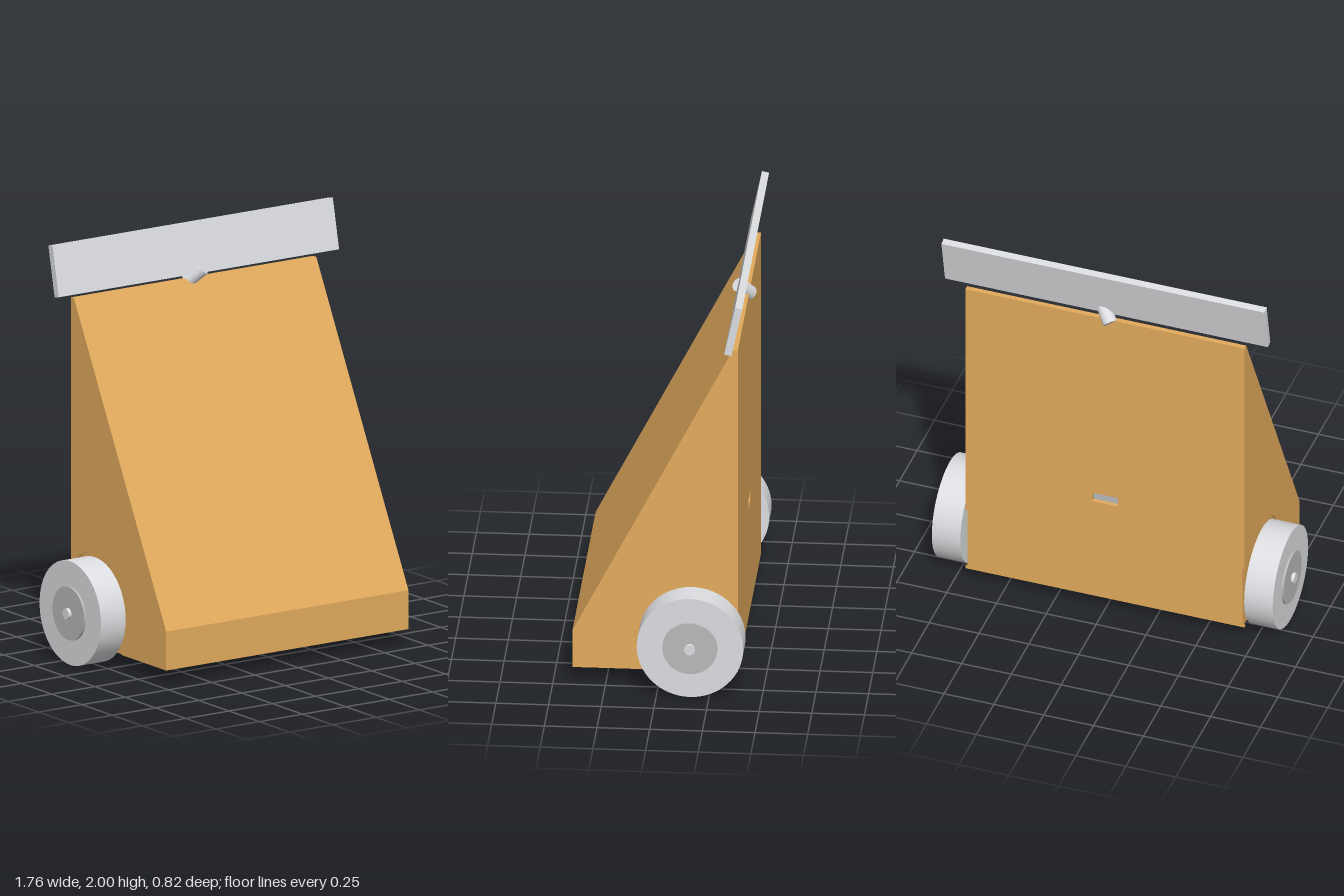
import * as THREE from 'three';

const mat = (name, color) => {
  const m = new THREE.MeshStandardMaterial({ color });
  m.name = name;
  return m;
};

export function createModel() {
  const group = new THREE.Group();
  const orange = mat('orange body', 0xe3ab5d);
  const lightGrey = mat('light grey', 0xdcdde0);
  const midGrey = mat('mid grey', 0xb9b9ba);

  const add = (name, geometry, material, parent = group) => {
    const mesh = new THREE.Mesh(geometry, material);
    mesh.name = name;
    parent.add(mesh);
    return mesh;
  };
  const toShape = (pts) => new THREE.Shape(pts.map(([u, v]) => new THREE.Vector2(u, v)));

  // Side profiles use (-z, y) and are extruded along x
  const extrudeX = (shapes, x0, x1) =>
    new THREE.ExtrudeGeometry(shapes, { depth: x1 - x0, bevelEnabled: false, curveSegments: 48 })
      .rotateY(Math.PI / 2).translate(x0, 0, 0);

  const W = 0.7, INNER = 0.69, BACK = 0.375, BOTTOM = 0.07, TOP = 1.73;
  const axleU = 0.16, axleY = 0.255, wellR = 0.27;

  // Wedge body in front of the back panel
  add('bodyCore', extrudeX(
    toShape([[-0.41, BOTTOM], [-0.41, 0.26], [0.35, TOP], [0.35, BOTTOM]]), -INNER, INNER), orange);

  // Back panel with a small slot
  const panel = toShape([[-INNER, BOTTOM], [INNER, BOTTOM], [INNER, TOP], [-INNER, TOP]]);
  panel.holes.push(new THREE.Path([[-0.065, 0.63], [-0.065, 0.68], [0.065, 0.68], [0.065, 0.63]]
    .map(([x, y]) => new THREE.Vector2(x, y))));
  add('backPanel', new THREE.ExtrudeGeometry(panel, { depth: 0.025, bevelEnabled: false })
    .translate(0, 0, -BACK), orange);
  add('slotInsert', new THREE.BoxGeometry(0.13, 0.05, 0.006).translate(0, 0.655, -0.353), midGrey);

  // Thin side skins, cut away around each wheel
  const a0 = Math.atan2(0.163, BACK - axleU);
  const a1 = Math.PI + Math.atan2(axleY - BOTTOM, 0.197);
  const skin = toShape([[-0.41, BOTTOM], [-0.41, 0.26], [0.35, TOP], [BACK, TOP], [BACK, axleY + 0.163]]);
  skin.absarc(axleU, axleY, wellR, a0, a1, false);
  skin.closePath();
  const corner = toShape([[BACK, BOTTOM], [BACK, 0.092], [0.357, BOTTOM]]);
  add('leftSkin', extrudeX([skin, corner], INNER, W), orange);
  add('rightSkin', extrudeX([skin, corner], -W, -INNER), orange);

  // Wheels with hub and axle
  const disc = (r, x0, x1) => new THREE.CylinderGeometry(r, r, x1 - x0, 64)
    .rotateZ(Math.PI / 2).translate((x0 + x1) / 2, 0, 0);
  for (const side of [1, -1]) {
    const wheel = new THREE.Group();
    wheel.name = side > 0 ? 'leftWheel' : 'rightWheel';
    add('tyre', disc(0.253, 0.712, 0.855), lightGrey, wheel);
    add('hub', disc(0.13, 0.7, 0.866), midGrey, wheel);
    add('axle', disc(0.026, 0.68, 0.882), lightGrey, wheel);
    wheel.position.set(0, axleY, -axleU);
    if (side < 0) wheel.rotation.y = Math.PI;
    if (side < 0) wheel.position.z = -axleU;
    group.add(wheel);
  }

  // Tilted board above the body
  const board = add('topBoard', new THREE.BoxGeometry(1.62, 0.248, 0.035), lightGrey);
  board.position.set(0, 1.875, -0.362);
  board.rotation.x = -0.21;

  // Slanted pin joining the board to the body
  const pin = add('pin', new THREE.CylinderGeometry(0.035, 0.035, 0.1, 32), lightGrey);
  pin.position.set(0, 1.745, -0.352);
  pin.quaternion.setFromUnitVectors(
    new THREE.Vector3(0, 1, 0), new THREE.Vector3(0.55, 0.65, 0.52).normalize());

  return group;
}
